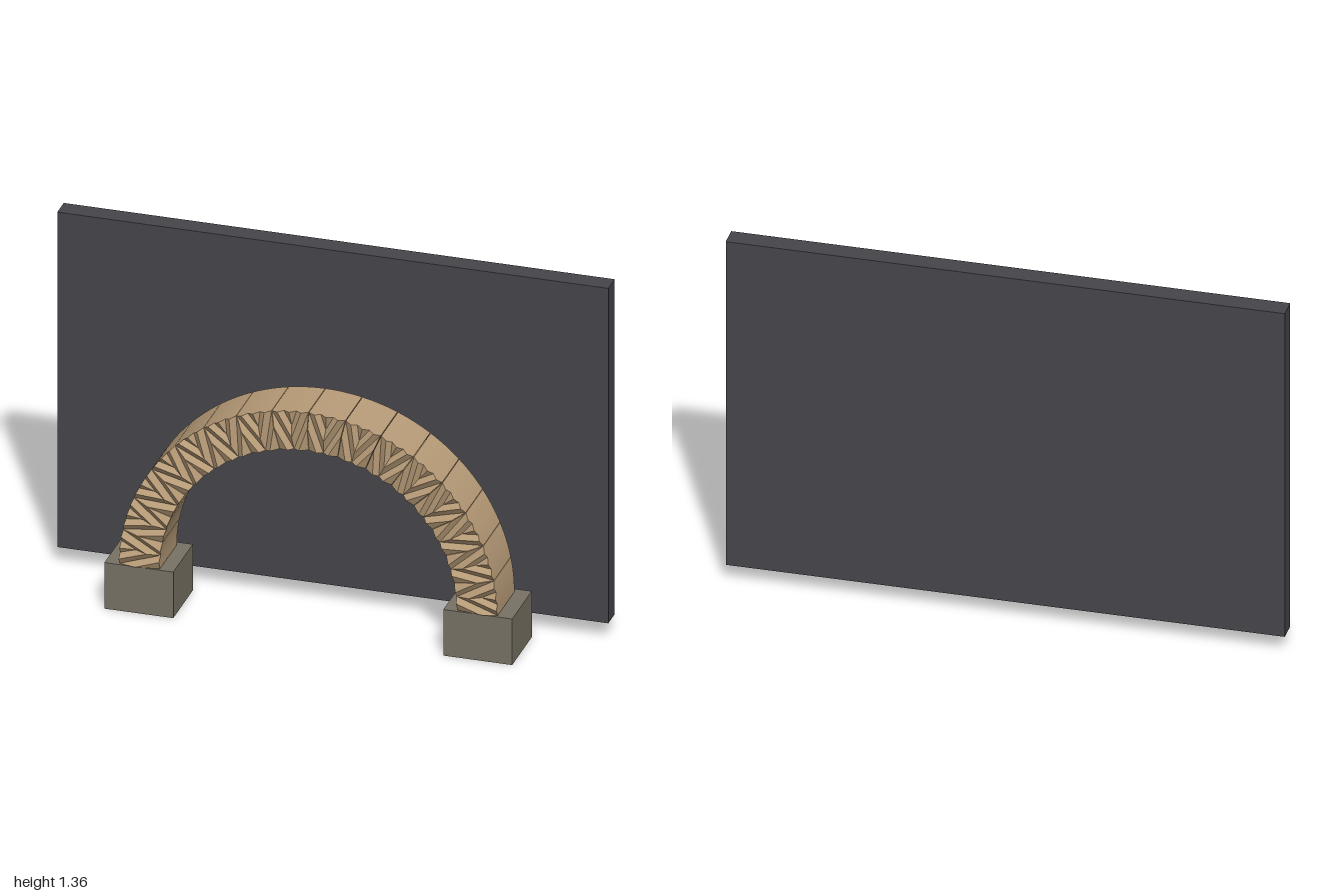
import * as THREE from 'three';

const SPRING_Y = 0.18, INNER = 0.54, OUTER = 0.686;
const BACK = -0.025, LOW = 0.17, HIGH = 0.185;
const STONES = 16;

const stoneMat = new THREE.MeshStandardMaterial({ color: 0xb89c78 });
stoneMat.name = 'sandstone';
const baseMat = new THREE.MeshStandardMaterial({ color: 0x787264 });
baseMat.name = 'grey stone';
const wallMat = new THREE.MeshStandardMaterial({ color: 0x46454b });
wallMat.name = 'dark wall';

// One wedge stone with V-shaped ridges cut into its front.
// a runs across the stone (-1..1), v from the inner to the outer curve (0..1).
function stoneGeometry(mid) {
  const half = (Math.PI / STONES / 2) * 0.985;
  const pos = [];
  const at = ([a, v], z) => {
    const t = mid - a * half, r = INNER + (OUTER - INNER) * v;
    return [r * Math.cos(t), SPRING_Y + r * Math.sin(t), z];
  };
  const tri = (p, q, r) => pos.push(...p, ...q, ...r);
  const front = (...pts) => {
    const c = pts.map((p) => at(p, p[2]));
    for (let i = 1; i < c.length - 1; i++) tri(c[0], c[i], c[i + 1]);
  };

  // Chevron lines, each from its outer end to the end nearer the stone's middle
  const lines = [
    [[1, 0.6, HIGH], [0.4, 0, HIGH]],
    [[1, 1, LOW], [0, 0, LOW]],
    [[0.65, 1, HIGH], [0, 0.33, HIGH]],
    [[0.35, 1, LOW], [0, 0.62, LOW]],
    [[0, 1, HIGH], [0, 1, HIGH]],
  ];
  for (const s of [1, -1]) {
    const m = ([a, v, z]) => [a * s, v, z];
    const face = (...pts) => front(...(s > 0 ? pts : pts.map(m).reverse()));
    face([1, 0, LOW], lines[0][0], lines[0][1]);
    for (let i = 0; i < 3; i++) {
      face(lines[i][1], lines[i][0], lines[i + 1][0], lines[i + 1][1]);
    }
    face(lines[3][1], lines[3][0], lines[4][0]);
  }

  // Side walls and back follow the outline of the carved face
  const right = [[0, 0, LOW], [0.4, 0, HIGH], [1, 0, LOW], [1, 0.6, HIGH],
    [1, 1, LOW], [0.65, 1, HIGH], [0.35, 1, LOW], [0, 1, HIGH]];
  const left = right.slice(1, -1).reverse().map(([a, v, z]) => [-a, v, z]);
  const rim = [...right, ...left];
  const centre = at([0, 0.5], BACK);
  rim.forEach((p, i) => {
    const q = rim[(i + 1) % rim.length];
    const pf = at(p, p[2]), qf = at(q, q[2]), pb = at(p, BACK), qb = at(q, BACK);
    tri(pf, pb, qb);
    tri(pf, qb, qf);
    tri(centre, qb, pb);
  });

  const g = new THREE.BufferGeometry();
  g.setAttribute('position', new THREE.Float32BufferAttribute(pos, 3));
  g.computeVertexNormals();
  return g;
}

function box(name, mat, size, centre) {
  const mesh = new THREE.Mesh(new THREE.BoxGeometry(...size), mat);
  mesh.name = name;
  mesh.position.set(...centre);
  return mesh;
}

export function createModel() {
  const model = new THREE.Group();
  model.name = 'chevronArch';

  // Wall panel behind the arch
  model.add(box('wallPanel', wallMat, [2, 1.295, 0.075], [0, 0.7125, -0.1475]));

  // Blocks carrying the arch
  for (const s of [1, -1]) {
    model.add(box(s > 0 ? 'leftBase' : 'rightBase', baseMat,
      [0.25, 0.178, 0.228], [s * 0.615, 0.089, 0.061]));
  }

  // Half ring of carved stones
  const arch = new THREE.Group();
  arch.name = 'arch';
  for (let i = 0; i < STONES; i++) {
    const stone = new THREE.Mesh(stoneGeometry((Math.PI * (i + 0.5)) / STONES), stoneMat);
    stone.name = `archStone${i + 1}`;
    arch.add(stone);
  }
  model.add(arch);
  return model;
}
